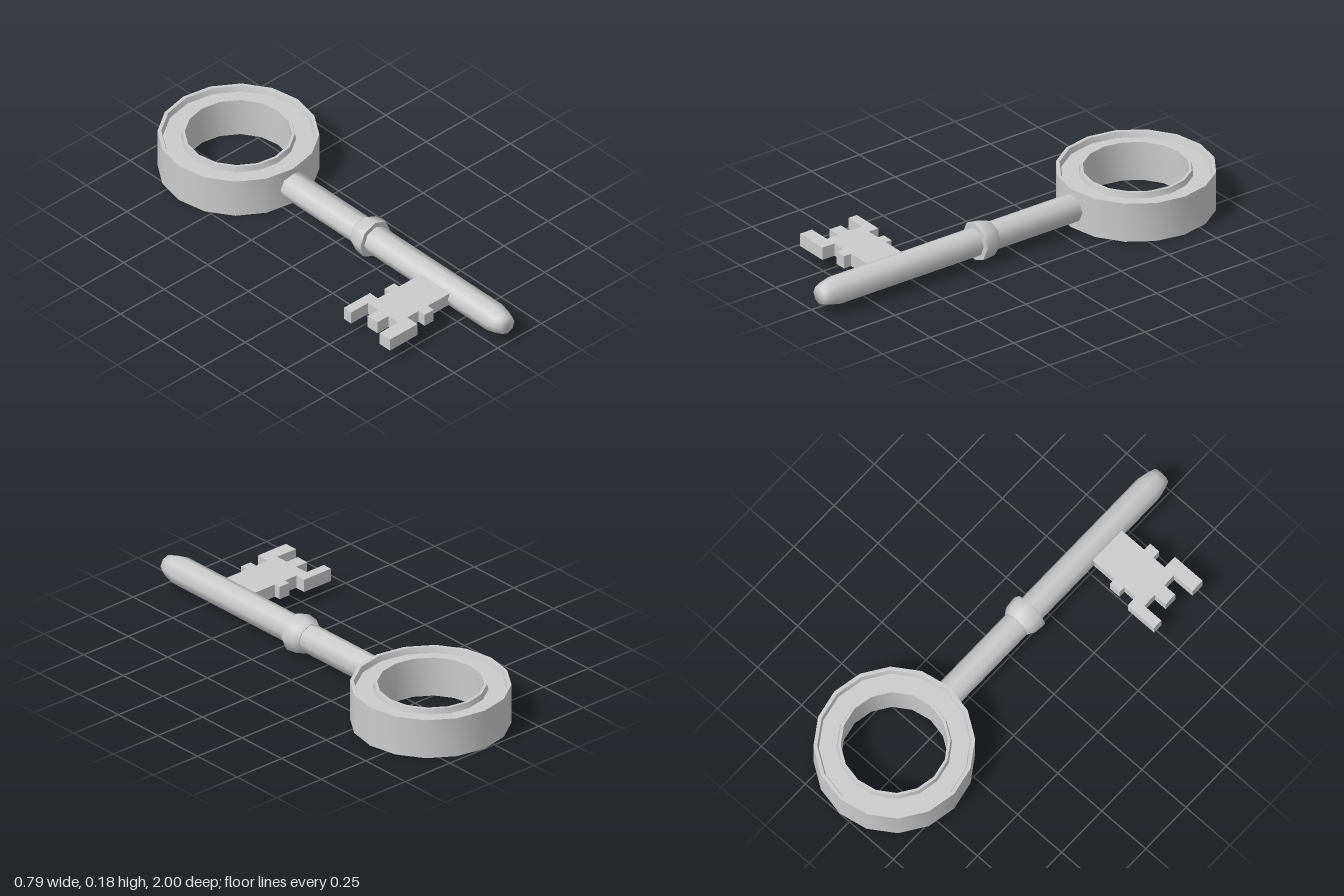
import * as THREE from 'three';
import { toCreasedNormals } from 'three/addons/utils/BufferGeometryUtils.js';

const X = 0.055; // axis of shaft and bow
const Y = 0.09;  // mid height

export function createModel() {
  const key = new THREE.Group();
  key.name = 'key';
  const material = new THREE.MeshStandardMaterial({ color: 0xcccccc });

  function add(name, geometry) {
    const mesh = new THREE.Mesh(geometry, material);
    mesh.name = name;
    key.add(mesh);
    return mesh;
  }
  function turned(points, sides, crease) {
    const profile = points.map(([r, h]) => new THREE.Vector2(r, h));
    return toCreasedNormals(new THREE.LatheGeometry(profile, sides), crease);
  }

  // Bow: a thick ring with a shallow groove between two lips on both faces
  const H = 0.09, floor = 0.065;
  const upper = [
    [0.34, H], [0.324, H], [0.317, floor],
    [0.243, floor], [0.237, H], [0.225, H],
  ];
  const lower = upper.map(([r, h]) => [r, -h]).reverse();
  const bow = add('bow', turned([...upper, ...lower, upper[0]], 16, 0.5));
  bow.position.set(X, Y, -0.66);

  // Shaft: octagonal rod with a tapered tip, sunk into the bow
  const shaft = add('shaft', turned([
    [0, -0.37], [0.063, -0.37], [0.063, 0.92], [0.052, 0.97], [0.041, 1], [0, 1],
  ], 8, 1.4));

  // Collar: flared band around the shaft
  const collar = add('collar', turned([
    [0.055, 0.1], [0.066, 0.1], [0.082, 0.125], [0.088, 0.175], [0.086, 0.185], [0.055, 0.185],
  ], 8, 0.9));

  for (const part of [shaft, collar]) {
    part.rotation.x = Math.PI / 2;
    part.position.set(X, Y, 0);
  }

  // Bit: flat plate with teeth, outlined in x and z
  const outline = [
    [0.04, 0.52], [-0.12, 0.52], [-0.12, 0.49], [-0.175, 0.49], [-0.175, 0.52],
    [-0.24, 0.52], [-0.24, 0.47], [-0.39, 0.47], [-0.39, 0.515], [-0.293, 0.515],
    [-0.293, 0.58], [-0.355, 0.58], [-0.355, 0.64], [-0.293, 0.64], [-0.293, 0.70],
    [-0.398, 0.70], [-0.398, 0.763], [-0.24, 0.763], [-0.24, 0.70], [-0.175, 0.70],
    [-0.175, 0.737], [-0.123, 0.737], [-0.123, 0.70], [0.04, 0.70],
  ];
  const shape = new THREE.Shape(outline.map(([x, z]) => new THREE.Vector2(x, z)));
  const bit = add('bit', new THREE.ExtrudeGeometry(shape, { depth: 0.058, bevelEnabled: false }));
  bit.rotation.x = Math.PI / 2;
  bit.position.y = Y + 0.029;

  return key;
}
